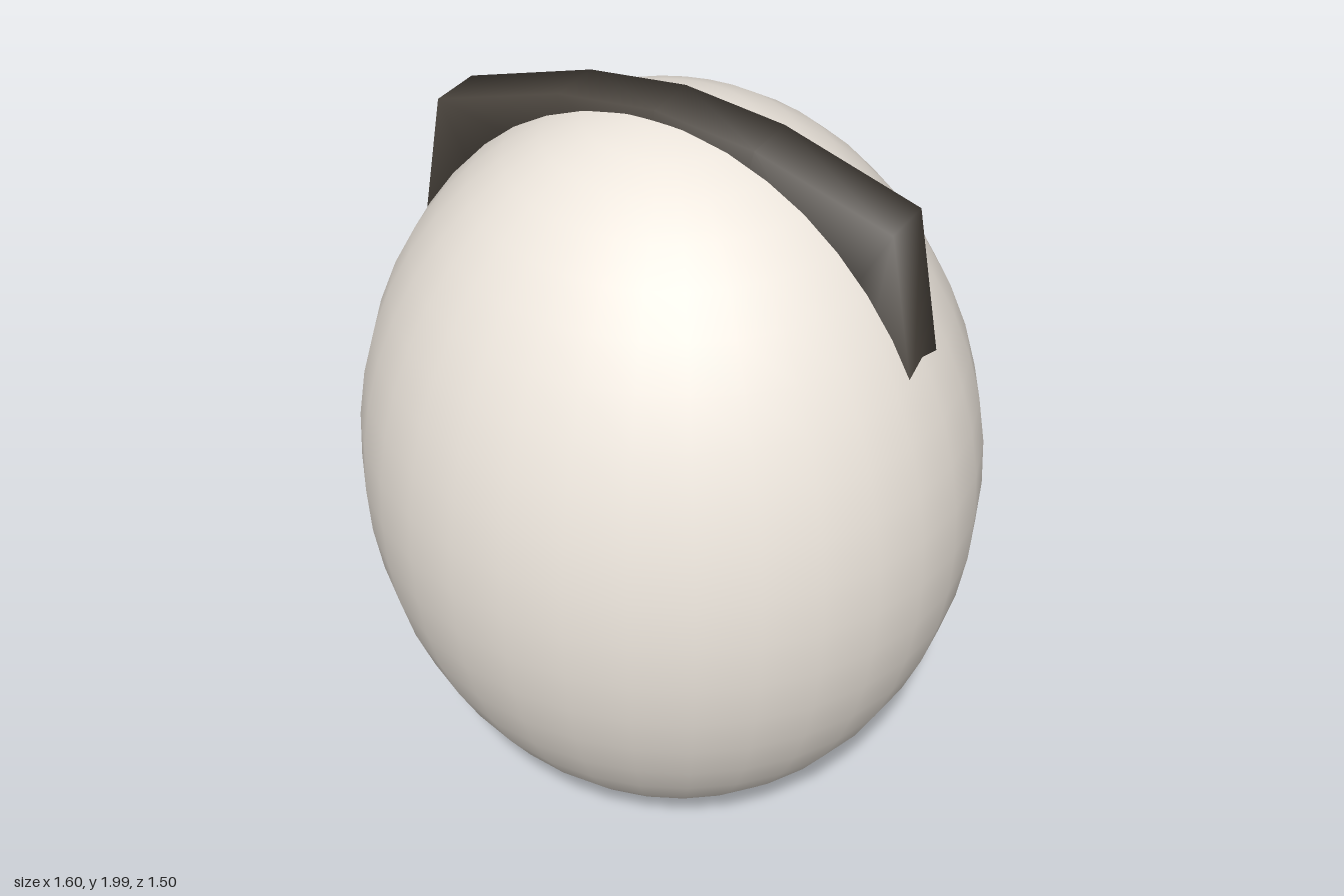
import * as THREE from 'three';

// Arch with a rectangular section, swept through paired outer and inner points.
// Corner normals lean outwards diagonally, so the shading rolls over the edges.
function archGeometry(outer, inner, halfDepth) {
  const positions = [], normals = [], indices = [];
  const corners = [[true, -1], [true, 1], [false, 1], [false, -1]];
  outer.forEach((out, i) => {
    const radial = out.clone().sub(inner[i]).normalize();
    corners.forEach(([isOuter, side], j) => {
      const point = isOuter ? out : inner[i];
      const sign = isOuter ? 1 : -1;
      positions.push(point.x, point.y, side * halfDepth);
      normals.push(radial.x * sign * Math.SQRT1_2, radial.y * sign * Math.SQRT1_2, side * Math.SQRT1_2);
      if (i < outer.length - 1) {
        const a = i * 4 + j, b = i * 4 + (j + 1) % 4;
        indices.push(a, b, b + 4, a, b + 4, a + 4);
      }
    });
  });
  const last = (outer.length - 1) * 4;
  indices.push(0, 3, 2, 0, 2, 1, last, last + 1, last + 2, last, last + 2, last + 3);
  const geometry = new THREE.BufferGeometry();
  geometry.setAttribute('position', new THREE.Float32BufferAttribute(positions, 3));
  geometry.setAttribute('normal', new THREE.Float32BufferAttribute(normals, 3));
  geometry.setIndex(indices);
  return geometry;
}

// Mirrors a right-hand profile that starts on the centre line
function mirrored(half) {
  const left = half.slice(1).reverse().map(([x, y]) => [-x, y]);
  return [...left, ...half].map(([x, y]) => new THREE.Vector2(x, y));
}

export function createModel() {
  const group = new THREE.Group();
  group.name = 'eggWithBand';

  // Smooth egg body
  const body = new THREE.Mesh(
    new THREE.SphereGeometry(1, 32, 24).scale(0.798, 0.986, 0.752),
    new THREE.MeshStandardMaterial({ color: 0xeee7de })
  );
  body.position.y = 0.992;
  body.name = 'eggBody';
  group.add(body);

  // Angular band over the top; its inner edge and ends are buried in the body
  const outer = mirrored([[0, 2], [0.26, 1.97], [0.61, 1.86], [0.69, 1.42]]);
  const inner = mirrored([[0, 1.82], [0.22, 1.78], [0.48, 1.62], [0.55, 1.42]]);
  const band = new THREE.Mesh(
    archGeometry(outer, inner, 0.07),
    new THREE.MeshStandardMaterial({ color: 0x4a443d })
  );
  band.name = 'topBand';
  group.add(band);

  return group;
}
